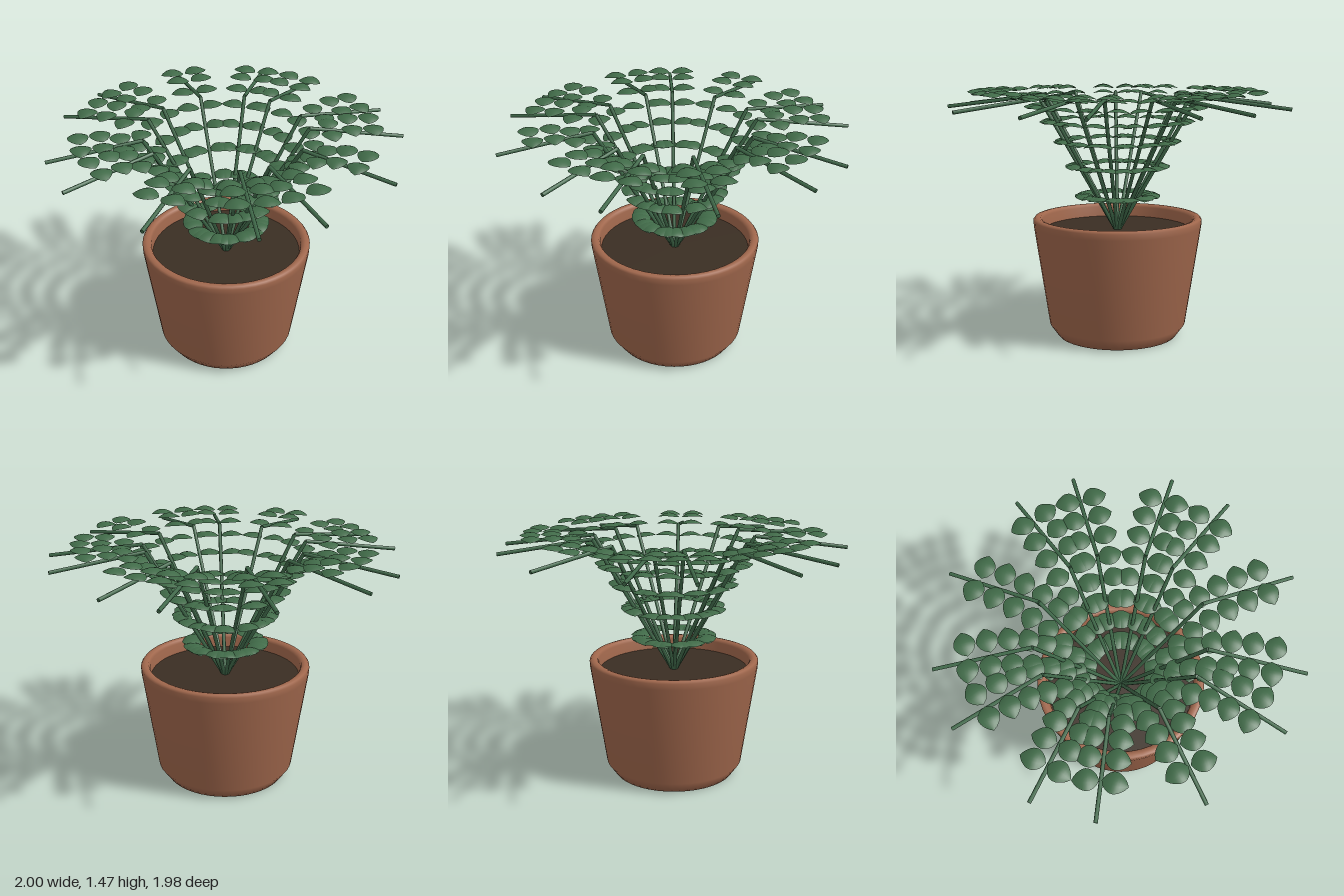
import * as THREE from 'three';

const material = (name, color, side = THREE.FrontSide) => {
  const m = new THREE.MeshStandardMaterial({ color, side });
  m.name = name;
  return m;
};

// Oval leaf with a pointed tip, arched along its length and across its width; base at the origin, tip on +x
function leafGeometry(length, halfWidth) {
  const g = new THREE.PlaneGeometry(1, 2, 10, 6).rotateX(-Math.PI / 2);
  const p = g.attributes.position;
  for (let i = 0; i < p.count; i++) {
    const s = p.getX(i) + 0.5, v = p.getZ(i);
    const w = halfWidth * Math.pow(Math.max(0, Math.sin(Math.PI * Math.pow(s, 0.9))), 0.75);
    p.setXYZ(i, 0.006 + s * length, 0.026 * Math.sin(Math.PI * s) - 0.014 * v * v * Math.sin(Math.PI * s) - 0.008, v * w);
  }
  g.computeVertexNormals();
  return g;
}

// Straight rod between two points
function rod(name, a, b, radius, mat) {
  const dir = b.clone().sub(a);
  const mesh = new THREE.Mesh(new THREE.CylinderGeometry(radius, radius, dir.length(), 8), mat);
  mesh.name = name;
  mesh.position.copy(a).addScaledVector(dir, 0.5);
  mesh.quaternion.setFromUnitVectors(new THREE.Vector3(0, 1, 0), dir.normalize());
  return mesh;
}

export function createModel() {
  const terracotta = material('terracotta', 0xa0674c);
  const soilBrown = material('soil brown', 0x3a2e23);
  const stemGreen = material('stem green', 0x3f6849);
  const leafGreen = material('leaf green', 0x406a48, THREE.DoubleSide);

  const model = new THREE.Group();
  model.name = 'pottedPlant';
  const plant = new THREE.Group();
  plant.name = 'plantAndPot';
  plant.position.set(-0.008, 0, -0.012);
  model.add(plant);

  // Pot with chamfered foot and rounded lip
  const profile = [
    [0, 0], [0.36, 0], [0.41, 0.07], [0.5, 0.67], [0.502, 0.705], [0.493, 0.717],
    [0.475, 0.72], [0.457, 0.715], [0.448, 0.7], [0.44, 0.62],
  ].map(([x, y]) => new THREE.Vector2(x, y));
  const pot = new THREE.Mesh(new THREE.LatheGeometry(profile, 48), terracotta);
  pot.name = 'pot';
  plant.add(pot);

  // Soil disc
  const soil = new THREE.Mesh(new THREE.CylinderGeometry(0.443, 0.43, 0.04, 48), soilBrown);
  soil.name = 'soil';
  soil.position.y = 0.62;
  plant.add(soil);

  // Fronds spread by the golden angle, each a bent stem with leaf pairs
  const leaf = leafGeometry(0.14, 0.058);
  const base = new THREE.Vector3(0, 0.62, 0);
  const bend = new THREE.Vector3(0.47, 1.435, 0);
  const tip = new THREE.Vector3(1.007, 1.368, 0);
  const pairs = 8;
  for (let i = 0; i < 13; i++) {
    const frond = new THREE.Group();
    frond.name = `frond${i + 1}`;
    frond.rotation.y = THREE.MathUtils.degToRad(137.5 * i);
    frond.add(rod('lowerStem', base, bend, 0.011, stemGreen));
    frond.add(rod('upperStem', bend, tip, 0.011, stemGreen));
    for (let k = 0; k < pairs; k++) {
      const r = 0.175 + 0.06 * k + 0.005 * k * (k - 1);
      const y = 0.84 + 0.177 * k - 0.01485 * k * (k - 1);
      for (const side of [-1, 1]) {
        const mesh = new THREE.Mesh(leaf, leafGreen);
        mesh.name = side > 0 ? 'leafLeft' : 'leafRight';
        mesh.position.set(r, y, 0);
        mesh.rotation.y = side * THREE.MathUtils.degToRad(82);
        frond.add(mesh);
      }
    }
    plant.add(frond);
  }
  return model;
}
